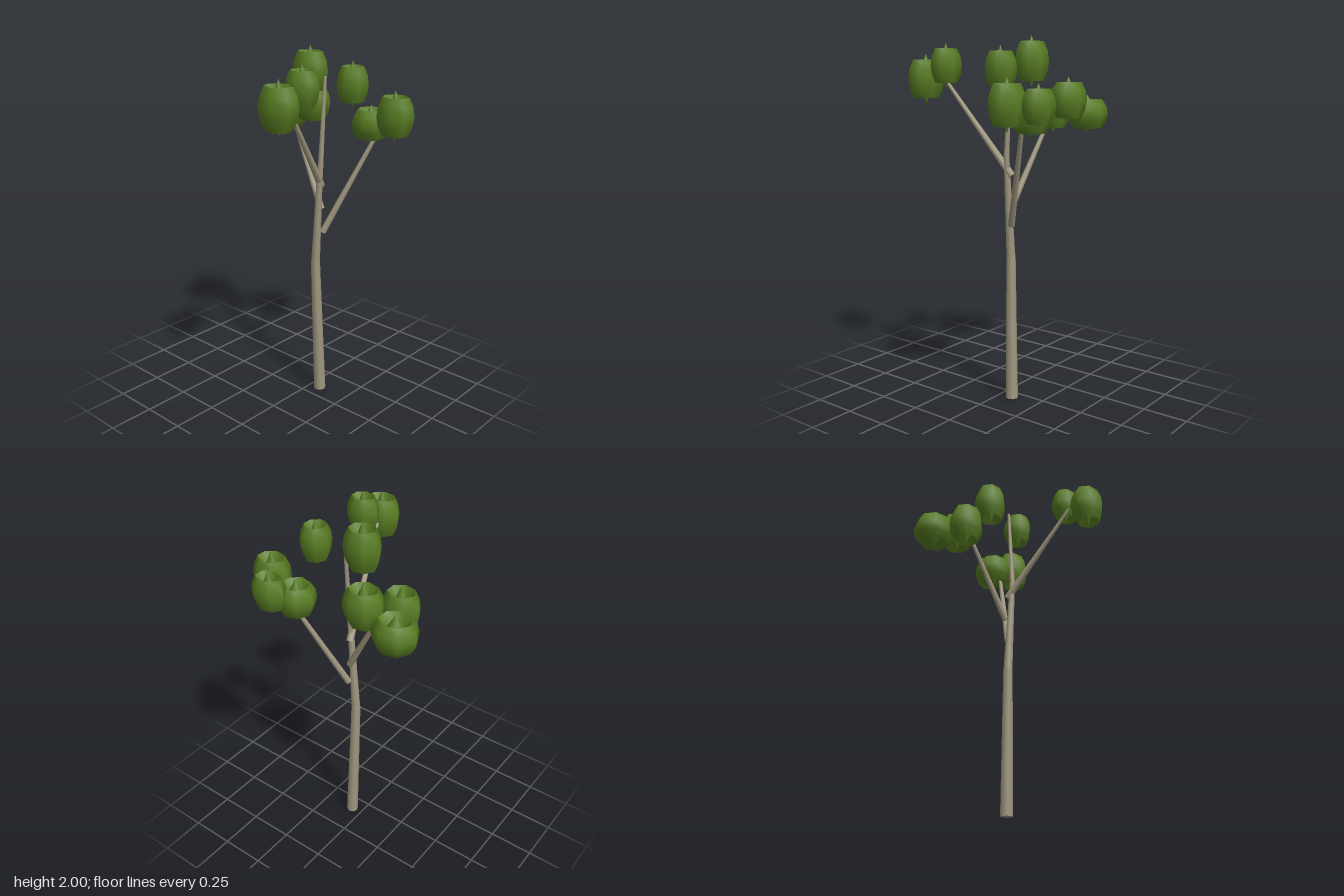
import * as THREE from 'three';
import { toCreasedNormals } from 'three/addons/utils/BufferGeometryUtils.js';

export function createModel() {
  const tree = new THREE.Group();
  tree.name = 'tree';
  const bark = new THREE.MeshStandardMaterial({ name: 'bark', color: 0xa0977f });
  const leaf = new THREE.MeshStandardMaterial({ name: 'leaf', color: 0x587c22 });

  // Straight tapered limb between two points
  const limb = (name, from, to, r0, r1) => {
    const a = new THREE.Vector3(...from), b = new THREE.Vector3(...to);
    const dir = b.clone().sub(a);
    const mesh = new THREE.Mesh(new THREE.CylinderGeometry(r1, r0, dir.length(), 8), bark);
    mesh.name = name;
    mesh.position.copy(a).add(b).multiplyScalar(0.5);
    mesh.quaternion.setFromUnitVectors(new THREE.Vector3(0, 1, 0), dir.normalize());
    tree.add(mesh);
  };

  // Trunk in three slightly bent lengths
  limb('lowerTrunk', [0.065, 0, -0.083], [0.045, 0.81, -0.06], 0.034, 0.026);
  limb('middleTrunk', [0.045, 0.8, -0.06], [0.08, 1.38, -0.055], 0.025, 0.015);
  limb('upperTrunk', [0.08, 1.36, -0.056], [0.083, 1.85, -0.085], 0.015, 0.008);

  // Branches
  limb('leftBackBranch', [0.075, 0.99, -0.085], [0.27, 1.54, -0.3], 0.019, 0.011);
  limb('rightBranch', [0.06, 1.12, -0.09], [-0.2, 1.58, -0.15], 0.019, 0.01);
  limb('frontBranch', [0.065, 1.26, -0.08], [0.165, 1.77, 0.3], 0.021, 0.009);

  // Seven-sided leaf clump: barrel with sunken ends and a spike in each
  const half = [[0, 1], [0.34, 0.36], [0.7, 0.76], [0.92, 0.4], [1, 0]];
  const mirrored = half.slice(0, -1).reverse().map(([r, y]) => [r, -y]);
  const profile = [...half, ...mirrored].reverse().map(([r, y]) => new THREE.Vector2(r, y));
  const clump = new THREE.LatheGeometry(profile, 7, -Math.PI / 2);

  // x, y, z, then the x, y and z radii
  [
    [-0.362, 1.58, -0.28, 0.122, 0.105, 0.113],
    [-0.175, 1.66, -0.276, 0.11, 0.125, 0.097],
    [-0.277, 1.6, -0.11, 0.105, 0.13, 0.093],
    [-0.053, 1.863, -0.12, 0.102, 0.137, 0.09],
    [0.216, 1.585, -0.312, 0.106, 0.105, 0.105],
    [0.297, 1.643, -0.417, 0.097, 0.112, 0.079],
    [0.385, 1.65, -0.293, 0.107, 0.135, 0.092],
    [0.228, 1.82, -0.131, 0.083, 0.12, 0.088],
    [0.217, 1.84, 0.245, 0.092, 0.118, 0.079],
    [0.209, 1.77, 0.4, 0.109, 0.135, 0.092],
  ].forEach(([x, y, z, rx, ry, rz], i) => {
    const geometry = toCreasedNormals(clump.clone().scale(rx, ry, rz), 1.05);
    const mesh = new THREE.Mesh(geometry, leaf);
    mesh.name = `leafClump${i + 1}`;
    mesh.position.set(x, y, z);
    tree.add(mesh);
  });

  return tree;
}
